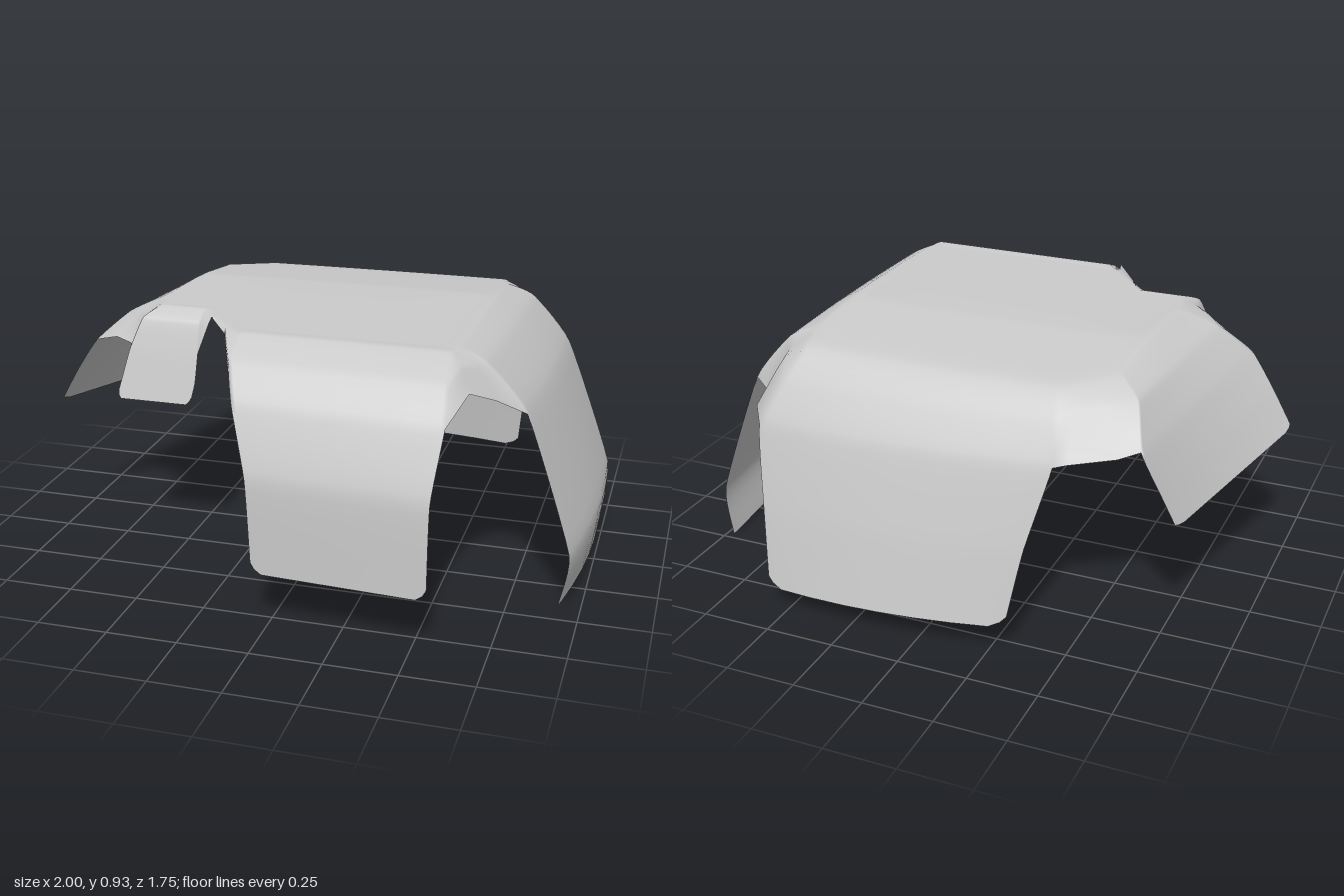
import * as THREE from 'three';

const TOP = 0.935; // height of the flat top
const STEPS = 6; // samples per span of a cross-section
const CROWN = 3 * STEPS + 1; // samples from the flat top to the notch level
const FALL = -0.15; // z behind which the top slopes down gently

// Flaps, anticlockwise from the front. The five steps of each run from rim to hem:
// out = distance from the centre, y = height, from/to = the two side edges.
// lean and tilt shift out and y along the flap; bow pulls its sides inward.
const flaps = [
  { // front flap
    turn: 0, round: 0.04, lean: 0.06, tilt: 0, bow: 0,
    out: [0.535, 0.67, 0.765, 0.838, 0.834], y: [TOP, 0.88, 0.765, 0.54, 0.205],
    from: [-0.18, -0.165, -0.125, -0.06, -0.045], to: [0.55, 0.575, 0.585, 0.56, 0.555],
  },
  { // left flap, the longest
    turn: 1, round: 0.005, lean: 0.035, tilt: -0.06, bow: 0.033,
    out: [0.575, 0.675, 0.82, 1, 0.985], y: [TOP, 0.875, 0.705, 0.23, 0.03],
    from: [-0.47, -0.475, -0.465, -0.505, -0.513], to: [0.43, 0.45, 0.47, 0.475, 0.475],
  },
  { // back flap
    turn: 2, round: 0.04, lean: -0.08, tilt: 0.04, bow: 0.05,
    out: [0.56, 0.67, 0.757, 0.825, 0.875], y: [0.895, 0.805, 0.66, 0.38, 0.1],
    from: [-0.54, -0.58, -0.64, -0.605, -0.575], to: [0.4, 0.42, 0.43, 0.36, 0.31],
  },
  { // right flap, short and flared
    turn: 3, round: 0.015, lean: 0.26, tilt: 0.09, bow: 0,
    out: [0.575, 0.69, 0.785, 0.865, 0.94], y: [TOP, 0.87, 0.76, 0.63, 0.49],
    from: [-0.42, -0.5, -0.61, -0.58, -0.54], to: [0.16, 0.2, 0.26, 0.245, 0.23],
  },
  { // small tab beside the front notch
    turn: 0, round: 0.03, lean: 0, tilt: 0, bow: 0,
    out: [0.295, 0.36, 0.392, 0.415, 0.433], y: [TOP, 0.905, 0.8, 0.7, 0.62],
    from: [-0.55, -0.595, -0.635, -0.66, -0.68], to: [-0.38, -0.38, -0.38, -0.385, -0.4],
  },
];

// The two edge points of the notch that follows each flap
const notches = [
  [[0.635, 0.845, 0.665], [0.695, 0.77, 0.5]],
  [[0.735, 0.675, -0.53], [0.69, 0.68, -0.67]],
  [[-0.48, 0.69, -0.715], [-0.62, 0.7, -0.635]],
  [[-0.72, 0.81, 0.315], [-0.64, 0.81, 0.37]],
  [[-0.33, TOP, 0.38], [-0.22, TOP, 0.55]],
];

// Cross-section of a flap at t, from one side edge (0) to the other (1)
function flapSection(flap, t) {
  const points = flap.out.map((out, k) => {
    const along = THREE.MathUtils.lerp(flap.from[k], flap.to[k], t);
    const weight = (k + 1) / 5;
    const reach = out + weight * (flap.lean * along - flap.bow * (along / 0.5) ** 2);
    const point = new THREE.Vector3(along, flap.y[k] + weight * flap.tilt * along, reach)
      .applyAxisAngle(new THREE.Vector3(0, 1, 0), flap.turn * Math.PI / 2);
    // Nothing rises above the top, which drops toward the back
    point.y = Math.min(point.y, TOP - 0.11 * Math.max(0, FALL - point.z));
    return point;
  });
  // Cut the hem back at the corners
  const side = Math.min(t, 1 - t);
  const cut = flap.round * Math.max(0, 1 - side / 0.06) ** 2;
  const [bend, hem] = points.slice(3);
  hem.addScaledVector(bend.clone().sub(hem).normalize(), cut);
  return points;
}

// Cross-section ending at a notch: rim, rounded shoulder, notch edge
function notchSection(rim, edge) {
  const shoulder = rim.clone().lerp(edge, 0.5);
  shoulder.y += 0.2 * (rim.y - edge.y);
  return [rim, shoulder, edge];
}

// Join a cross-section to the flat top and ease its folds
function column(section) {
  const { x, z } = section[0];
  const start = new THREE.Vector3(x * 0.9, TOP, Math.max(z * 0.9, FALL));
  const curve = new THREE.CatmullRomCurve3([start, ...section], false, 'catmullrom', 0.25);
  return curve.getPoints(section.length * STEPS);
}

function coverGeometry() {
  const columns = [];
  flaps.forEach((flap, i) => {
    for (const t of [0, 0.02, 0.06, 0.2, 0.35, 0.5, 0.65, 0.8, 0.94, 0.98, 1]) {
      columns.push(column(flapSection(flap, t)));
    }
    const [rimA] = flapSection(flap, 1);
    const [rimB] = flapSection(flaps[(i + 1) % flaps.length], 0);
    notches[i].forEach((edge, n) => {
      const rim = rimA.clone().lerp(rimB, (n + 1) / 3);
      columns.push(column(notchSection(rim, new THREE.Vector3(...edge))));
    });
  });

  // Flat top as a fan, then strips outward between neighbouring columns
  const position = [0.05, TOP, 0.1];
  const index = [];
  const first = columns.map((points) => {
    const start = position.length / 3;
    for (const p of points) position.push(p.x, p.y, p.z);
    return start;
  });
  columns.forEach((points, i) => {
    const n = (i + 1) % columns.length;
    const a = first[i], b = first[n];
    index.push(0, a, b);
    const bothFlap = points.length > CROWN && columns[n].length > CROWN;
    const rows = bothFlap ? points.length : CROWN;
    for (let k = 0; k < rows - 1; k++) {
      index.push(a + k, a + k + 1, b + k + 1, a + k, b + k + 1, b + k);
    }
  });

  const geometry = new THREE.BufferGeometry();
  geometry.setAttribute('position', new THREE.Float32BufferAttribute(position, 3));
  geometry.setIndex(index);
  geometry.computeVertexNormals();
  return geometry;
}

export function createModel() {
  const group = new THREE.Group();
  group.name = 'foldedCover';
  const material = new THREE.MeshStandardMaterial({ color: 0xcccccc, side: THREE.DoubleSide });
  const shell = new THREE.Mesh(coverGeometry(), material);
  shell.name = 'coverShell';
  group.add(shell);
  return group;
}
